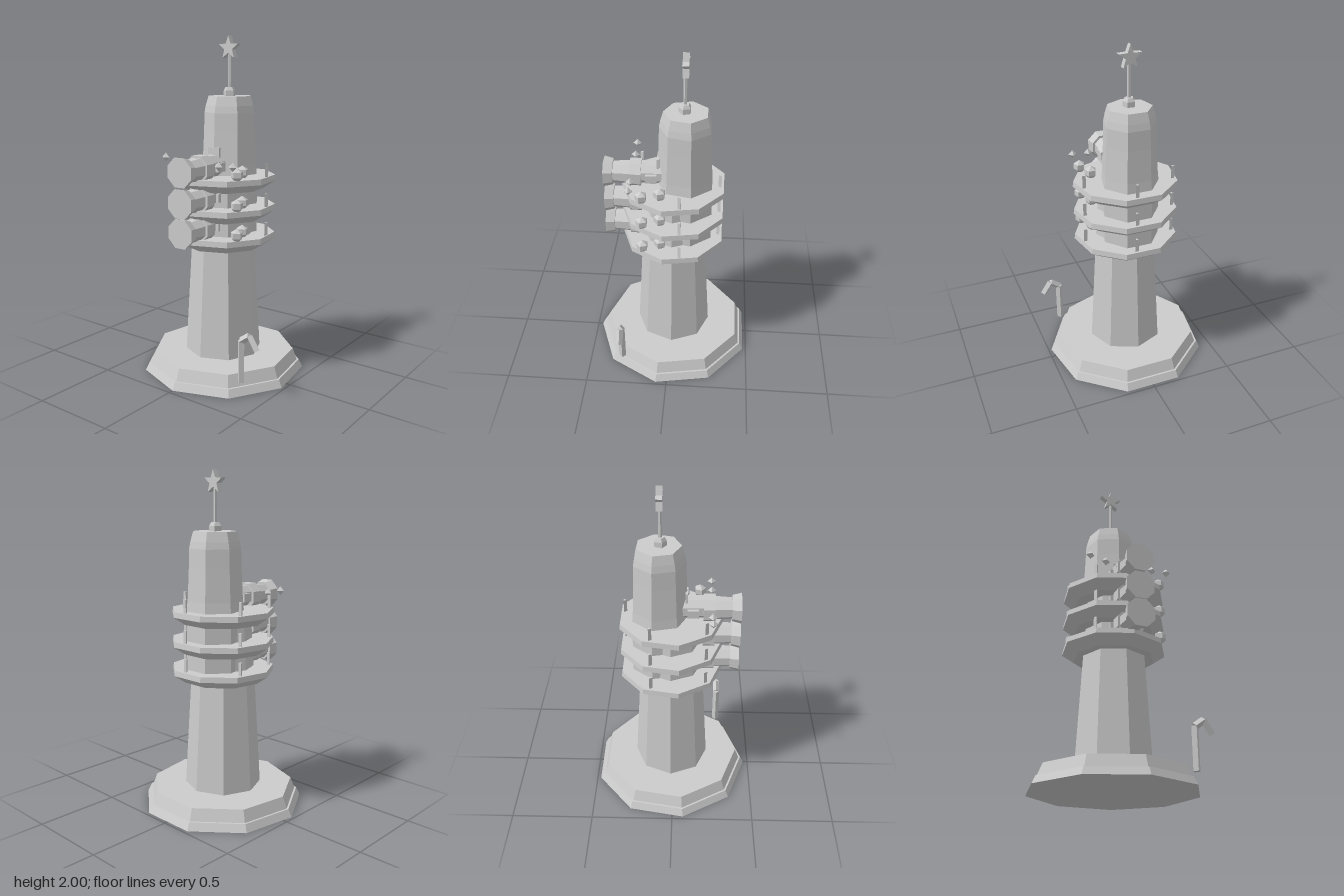
import * as THREE from 'three';

export function createModel() {
  const root = new THREE.Group();
  root.name = 'signalTower';
  const stone = new THREE.MeshStandardMaterial({ color: 0xcccccc });
  stone.name = 'pale grey';

  // Adds a faceted mesh
  function add(name, geo, x = 0, y = 0, z = 0, parent = root) {
    const g = geo.index ? geo.toNonIndexed() : geo;
    g.computeVertexNormals();
    const m = new THREE.Mesh(g, stone);
    m.name = name;
    m.position.set(x, y, z);
    parent.add(m);
    return m;
  }
  // Polygonal turned solid from [radius, height] points, one corner facing front
  const turned = (pts, sides) =>
    new THREE.LatheGeometry(pts.map(([r, y]) => new THREE.Vector2(r, y)), sides);
  // Prism lying along z, flat side up
  function prism(rBack, rFront, z0, z1, sides = 8) {
    const g = new THREE.CylinderGeometry(rFront, rBack, z1 - z0, sides);
    g.rotateY(Math.PI / sides);
    g.rotateX(Math.PI / 2);
    g.translate(0, 0, (z0 + z1) / 2);
    return g;
  }
  // Square bar between two points
  function bar(name, a, b, r) {
    const m = add(name, new THREE.CylinderGeometry(r, r, a.distanceTo(b), 4));
    m.position.copy(a).add(b).multiplyScalar(0.5);
    m.quaternion.setFromUnitVectors(new THREE.Vector3(0, 1, 0), b.clone().sub(a).normalize());
  }

  // Nine-sided stepped base and eight-sided shaft
  add('base', turned([[0, 0], [0.49, 0], [0.468, 0.045], [0.456, 0.045], [0.43, 0.115], [0, 0.115]], 9), 0, 0, -0.018);
  add('shaft', new THREE.CylinderGeometry(0.19, 0.23, 0.68, 8), 0, 0.45, -0.014);
  add('core', new THREE.CylinderGeometry(0.165, 0.19, 0.41, 8), 0, 0.985, -0.014);

  // Seven-sided upper tower with bevelled crown
  add('upperTower', turned([
    [0, 0.8], [0.174, 0.8], [0.172, 1.19], [0.165, 1.26], [0.156, 1.45],
    [0.153, 1.56], [0.145, 1.6], [0.129, 1.655], [0, 1.655],
  ], 7), 0, 0, -0.083);

  // Mast and star
  add('mastFoot', turned([[0, 1.65], [0.037, 1.65], [0.037, 1.685], [0.025, 1.705], [0, 1.705]], 5), 0, 0, -0.075);
  add('mast', new THREE.CylinderGeometry(0.011, 0.011, 0.21, 5), 0, 1.79, -0.075);
  const star = new THREE.Shape();
  for (let i = 0; i < 10; i++) {
    const r = i % 2 ? 0.029 : 0.07, a = Math.PI / 2 + (i * Math.PI) / 5;
    star[i ? 'lineTo' : 'moveTo'](r * Math.cos(a), r * Math.sin(a));
  }
  star.closePath();
  add('star', new THREE.ExtrudeGeometry(star, { depth: 0.036, bevelEnabled: false }), 0, 1.93, -0.095);

  // Three galleries, each with a horn, two lanterns and railing posts
  const posts = [[-0.25, -0.13], [0.035, -0.285], [0.27, -0.065], [-0.19, 0.188]];
  [0.854, 1.024, 1.2].forEach((top, i) => {
    const level = new THREE.Group();
    level.name = 'gallery' + (i + 1);
    level.position.y = top;
    root.add(level);
    add('platform', turned([[0, -0.08], [0.24, -0.08], [0.31, -0.032], [0.306, 0], [0, 0]], 9), 0, 0, -0.018, level);
    for (const [x, z] of posts)
      add('post', new THREE.CylinderGeometry(0.012, 0.012, 0.08, 3), x, 0.037, z, level);
    for (const [x, z] of [[0.187, 0.054], [0.222, 0.155]])
      add('lantern', turned([[0, 0], [0.02, 0.002], [0.035, 0.018], [0.035, 0.05], [0, 0.073]], 5), x, 0, z, level);

    // Horn pointing forward
    const horn = new THREE.Group();
    horn.name = 'horn';
    horn.position.y = 0.053;
    level.add(horn);
    add('hornTube', prism(0.066, 0.066, 0.03, 0.2), 0, 0.008, 0, horn);
    add('hornNeck', prism(0.073, 0.062, 0.2, 0.345), 0, 0, 0, horn);
    add('hornBell', prism(0.077, 0.09, 0.337, 0.39), 0, 0, 0, horn);
    add('hornCollar', prism(0.084, 0.084, 0.172, 0.24), 0, 0, 0, horn);
    for (const s of [-1, 1])
      add('hornBracket', new THREE.BoxGeometry(0.02, 0.05, 0.065), s * 0.075, 0.005, 0.113, horn);
  });
  add('hornStop', new THREE.BoxGeometry(0.08, 0.06, 0.015), 0, 1.335, 0.075);

  // Small signal lights above the top gallery
  for (const [x, y] of [[-0.242, 1.305], [-0.146, 1.282], [-0.055, 1.265], [0.145, 1.28], [0.241, 1.285]])
    add('signalLight', new THREE.OctahedronGeometry(0.026), x, y, 0.223);

  // Bent lamp post on the base
  const path = [[0.35, 0.085], [0.35, 0.33], [0.405, 0.37], [0.455, 0.295]]
    .map(([x, y]) => new THREE.Vector3(x, y, 0.287));
  for (let i = 0; i < 3; i++) bar('lampPost', path[i], path[i + 1], 0.021);

  return root;
}
